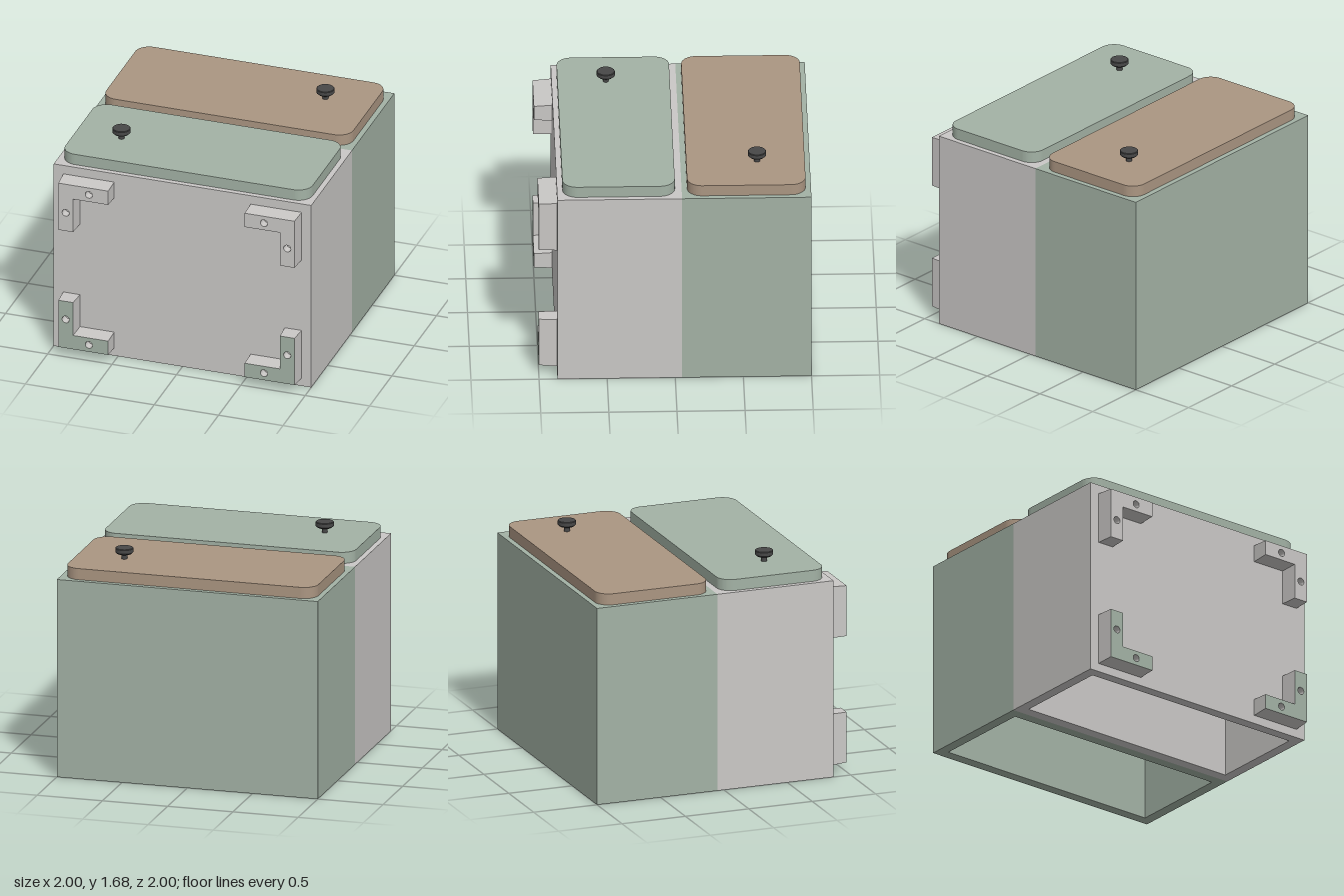
import * as THREE from 'three';

const mat = (name, color) => {
  const m = new THREE.MeshStandardMaterial({ color });
  m.name = name;
  return m;
};

// Rectangle path centred on x = 0, spanning z0..z1 (shape y is -z), with optional rounded corners
function rect(Type, halfX, z0, z1, r = 0) {
  const p = new Type();
  const a = -z1, b = -z0;
  if (r === 0) {
    p.moveTo(-halfX, a).lineTo(halfX, a).lineTo(halfX, b).lineTo(-halfX, b).closePath();
    return p;
  }
  p.moveTo(-halfX + r, a).lineTo(halfX - r, a);
  p.absarc(halfX - r, a + r, r, -Math.PI / 2, 0);
  p.absarc(halfX - r, b - r, r, 0, Math.PI / 2);
  p.absarc(-halfX + r, b - r, r, Math.PI / 2, Math.PI);
  p.absarc(-halfX + r, a + r, r, Math.PI, Math.PI * 1.5);
  return p;
}

// Extrude a plan shape upwards from y
function extrudeUp(shape, y, height) {
  const g = new THREE.ExtrudeGeometry(shape, { depth: height, bevelEnabled: false, curveSegments: 8 });
  return g.rotateX(-Math.PI / 2).translate(0, y, 0);
}

export function createModel() {
  const grey = mat('light grey', 0xcac8c6);
  const green = mat('sage green', 0xa3b2a5);
  const brown = mat('tan brown', 0xab9682);
  const dark = mat('dark grey', 0x484848);

  const model = new THREE.Group();
  model.name = 'twinBin';
  const add = (name, geometry, material, parent = model) => {
    const m = new THREE.Mesh(geometry, material);
    m.name = name;
    parent.add(m);
    return m;
  };

  const H = 1.51, WALL = 0.08, FRONT = 0.865;

  // Two bottomless boxes side by side
  const box = (name, z0, z1, material) => {
    const shape = rect(THREE.Shape, 1, z0, z1);
    shape.holes.push(rect(THREE.Path, 1 - WALL, z0 + WALL, z1 - WALL));
    add(name, extrudeUp(shape, 0, H), material);
  };
  box('frontBox', -0.05, FRONT, grey);
  box('backBox', -1, -0.05, green);

  // Rounded lids
  add('frontLid', extrudeUp(rect(THREE.Shape, 0.96, 0, 0.825, 0.11), H, 0.085), green);
  add('backLid', extrudeUp(rect(THREE.Shape, 0.96, -0.96, -0.09, 0.11), H, 0.085), brown);

  // Knobs: thin stem, flat head with a chamfered underside
  const knobProfile = [[0, 0], [0.022, 0], [0.022, 0.04], [0.054, 0.04], [0.067, 0.052],
    [0.067, 0.08], [0.063, 0.085], [0, 0.085]].map(([x, y]) => new THREE.Vector2(x, y));
  const knobGeometry = new THREE.LatheGeometry(knobProfile, 32).toNonIndexed();
  knobGeometry.computeVertexNormals();
  for (const [name, x, z] of [['frontKnob', -0.61, 0.47], ['backKnob', 0.6, -0.61]]) {
    add(name, knobGeometry, dark).position.set(x, 1.595, z);
  }

  // L-shaped corner brackets, slightly tapered, with stepped screw holes
  const LONG = 0.395, ARM = 0.13, DEPTH = 0.135, STEP = 0.065, DRAFT = 0.008;
  const outline = [[0, 0], [LONG, 0], [LONG, ARM], [ARM, ARM], [ARM, LONG], [0, LONG]];
  const layer = (sx, sy, z0, z1, holeRadius) => {
    const shape = new THREE.Shape(outline.map(([u, v]) => new THREE.Vector2(u * sx, v * sy)));
    for (const [u, v] of [[0.245, 0.065], [0.065, 0.245]]) {
      shape.holes.push(new THREE.Path().absarc(u * sx, v * sy, holeRadius, 0, Math.PI * 2));
    }
    const g = new THREE.ExtrudeGeometry(shape, { depth: z1 - z0, bevelEnabled: false, curveSegments: 16 });
    g.translate(0, 0, z0);
    const p = g.attributes.position;
    // Draw the arm edges inwards towards the front
    const taper = (c, d) => {
      if (Math.abs(c) < 1e-4) return d;
      return Math.abs(Math.abs(c) - ARM) < 1e-4 ? c - d : c;
    };
    for (let i = 0; i < p.count; i++) {
      const d = DRAFT * p.getZ(i) / DEPTH;
      p.setXY(i, taper(p.getX(i), d * sx), taper(p.getY(i), d * sy));
    }
    g.computeVertexNormals();
    return g;
  };
  for (const side of [-1, 1]) {
    for (const top of [false, true]) {
      const bracket = new THREE.Group();
      bracket.name = (top ? 'upper' : 'lower') + (side > 0 ? 'Left' : 'Right') + 'Bracket';
      bracket.position.set(0.925 * side, top ? 1.44 : 0.065, FRONT);
      const sy = top ? -1 : 1;
      add('bracketBase', layer(-side, sy, 0, STEP, 0.012), grey, bracket);
      add('bracketFace', layer(-side, sy, STEP, DEPTH, 0.028), [top ? grey : green, grey], bracket);
      model.add(bracket);
    }
  }
  return model;
}
